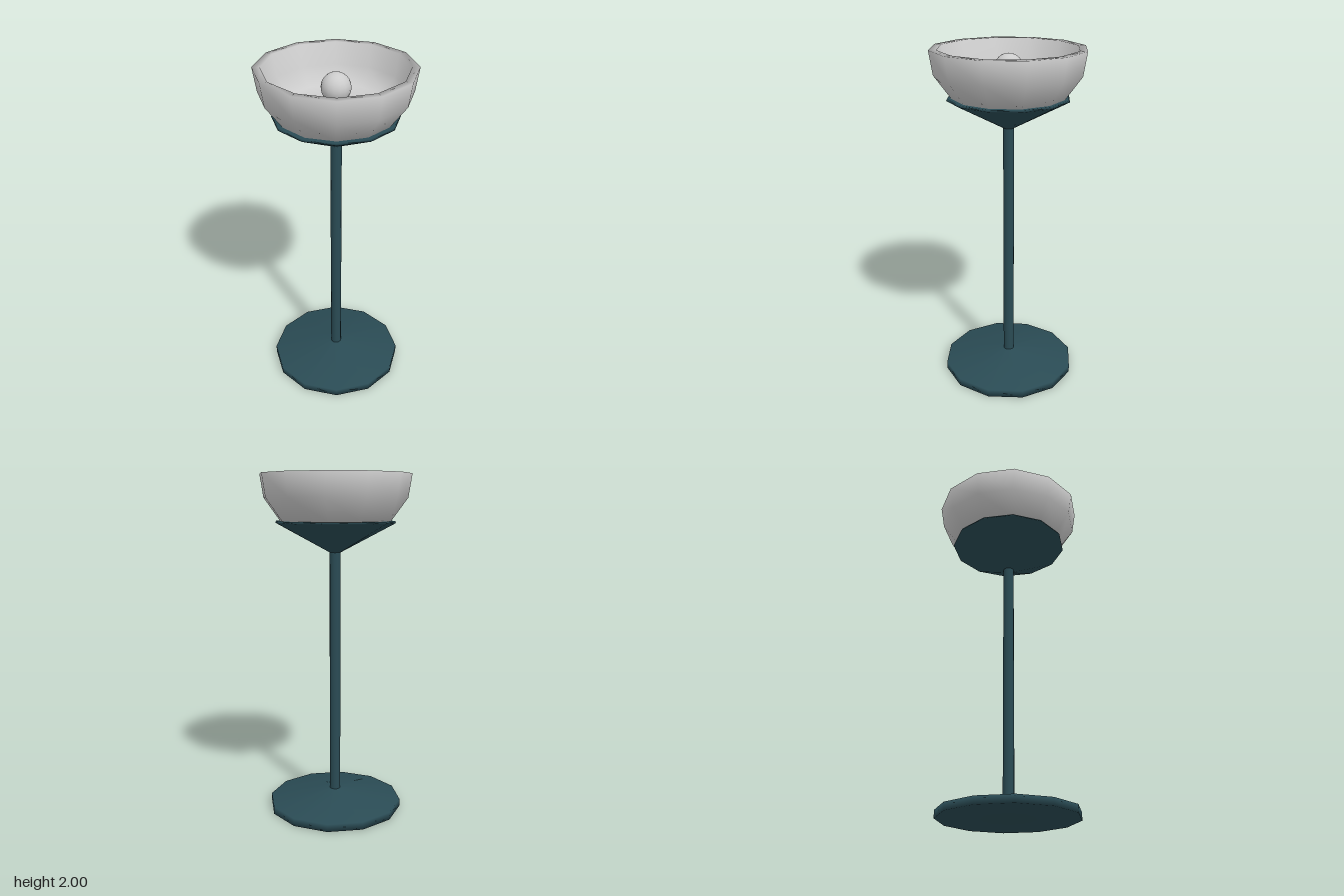
import * as THREE from 'three';

const SIDES = 12;

export function createModel() {
  const model = new THREE.Group();
  model.name = 'floorLamp';
  const metal = new THREE.MeshStandardMaterial({ color: 0x2a4b54, side: THREE.DoubleSide });
  const glass = new THREE.MeshStandardMaterial({ color: 0xcccccc, side: THREE.DoubleSide });

  // Turned part from [radius, height] pairs, running from the bottom outwards and up
  const turned = (name, profile, material) => {
    const points = profile.map(([r, y]) => new THREE.Vector2(r, y));
    const mesh = new THREE.Mesh(new THREE.LatheGeometry(points, SIDES), material);
    mesh.name = name;
    model.add(mesh);
  };

  // Foot, pole and saucer under the shade
  turned('base', [[0, 0], [0.4, 0], [0.4, 0.045], [0.032, 0.105]], metal);
  turned('pole', [[0.032, 0.1], [0.032, 1.57]], metal);
  turned('saucer', [[0, 1.555], [0.032, 1.555], [0.35, 1.724], [0.345, 1.735], [0, 1.735]], metal);

  // Thick bowl, open at the top, with a small raised socket in the middle of its floor
  turned('bowlShade', [
    [0, 1.735], [0.322, 1.735], [0.417, 1.866], [0.438, 2],
    [0.395, 2], [0.376, 1.875], [0.3, 1.782], [0.15, 1.775], [0.08, 1.79], [0.06, 1.84], [0, 1.85],
  ], glass);

  // Round bulb
  const bulb = new THREE.Mesh(new THREE.SphereGeometry(0.082, 16, 12), glass);
  bulb.name = 'bulb';
  bulb.position.y = 1.89;
  model.add(bulb);

  return model;
}
